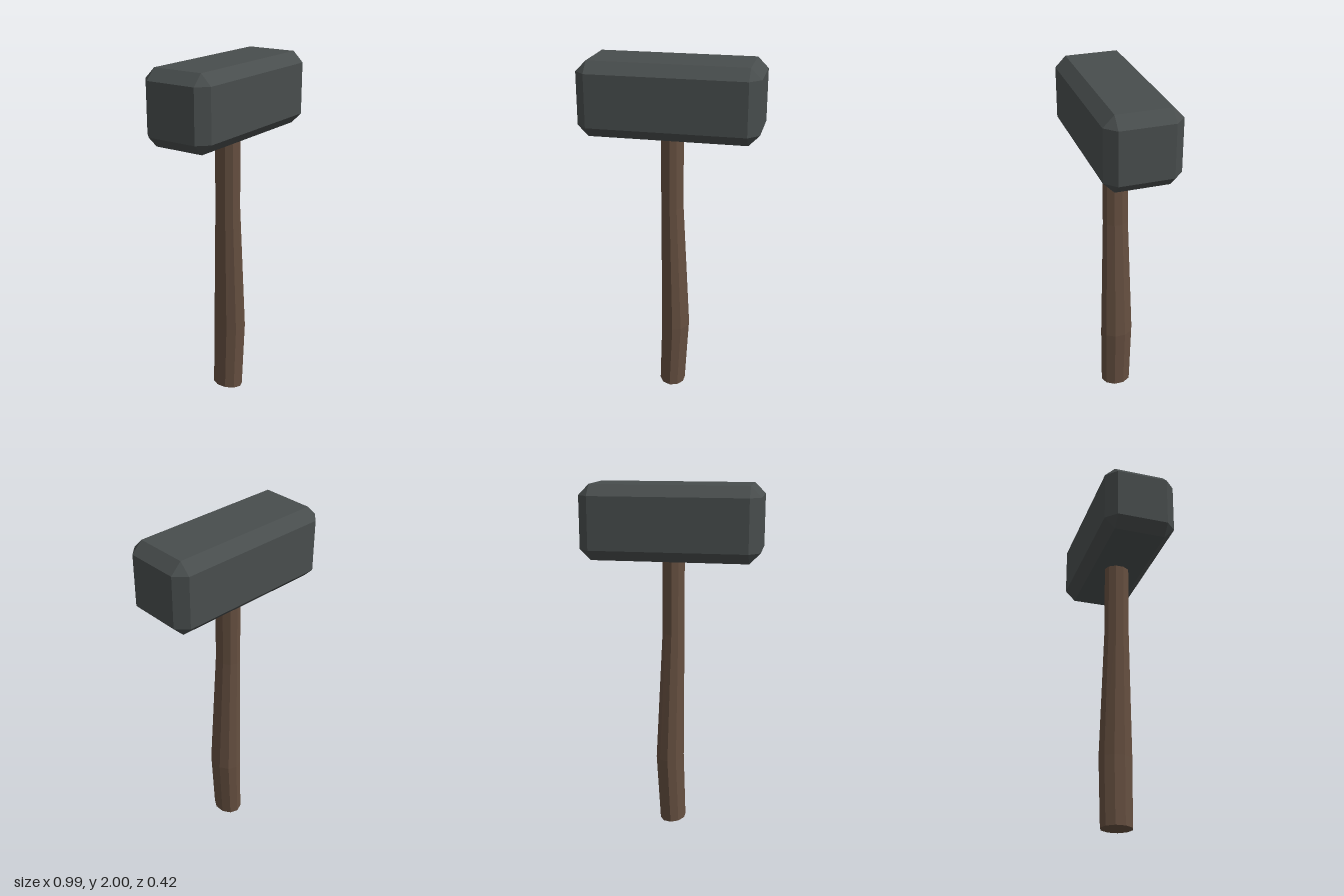
import * as THREE from 'three';
import { ConvexGeometry } from 'three/addons/geometries/ConvexGeometry.js';

// Box with bevelled edges and triangular corners, from half sizes
function chamferedBox(hx, hy, hz, c) {
  const points = [];
  for (const sx of [-1, 1]) for (const sy of [-1, 1]) for (const sz of [-1, 1]) {
    points.push(
      new THREE.Vector3(sx * hx, sy * (hy - c), sz * (hz - c)),
      new THREE.Vector3(sx * (hx - c), sy * hy, sz * (hz - c)),
      new THREE.Vector3(sx * (hx - c), sy * (hy - c), sz * hz)
    );
  }
  return new ConvexGeometry(points);
}

// Ten-sided oval shaft, shaped by cross-sections from bottom to top
function shaft(sections) {
  const rows = sections.length - 1;
  const geometry = new THREE.CylinderGeometry(1, 1, rows, 10, rows);
  const pos = geometry.attributes.position;
  for (let i = 0; i < pos.count; i++) {
    const s = sections[Math.round(pos.getY(i) + rows / 2)];
    const x = pos.getX(i) * s.rx;
    pos.setXYZ(i, s.x + x, s.y + x * s.tilt, pos.getZ(i) * s.rz);
  }
  geometry.computeVertexNormals();
  return geometry;
}

export function createModel() {
  const iron = new THREE.MeshStandardMaterial({ color: 0x484d4d, flatShading: true });
  iron.name = 'dark iron';
  const wood = new THREE.MeshStandardMaterial({ color: 0x654f40, flatShading: true });
  wood.name = 'brown wood';

  const model = new THREE.Group();
  model.name = 'hammer';

  const head = new THREE.Mesh(chamferedBox(0.497, 0.206, 0.208, 0.06), iron);
  head.name = 'head';
  head.position.y = 1.794;
  model.add(head);

  // Grip bulges toward +x, then the butt curves back
  const handle = new THREE.Mesh(shaft([
    { y: 0.006, x: 0, rx: 0.075, rz: 0.092, tilt: -0.07 },
    { y: 0.4, x: 0.018, rx: 0.081, rz: 0.098, tilt: 0 },
    { y: 1.16, x: -0.002, rx: 0.063, rz: 0.075, tilt: 0 },
    { y: 1.62, x: -0.002, rx: 0.063, rz: 0.075, tilt: 0 }
  ]), wood);
  handle.name = 'handle';
  model.add(handle);

  return model;
}
